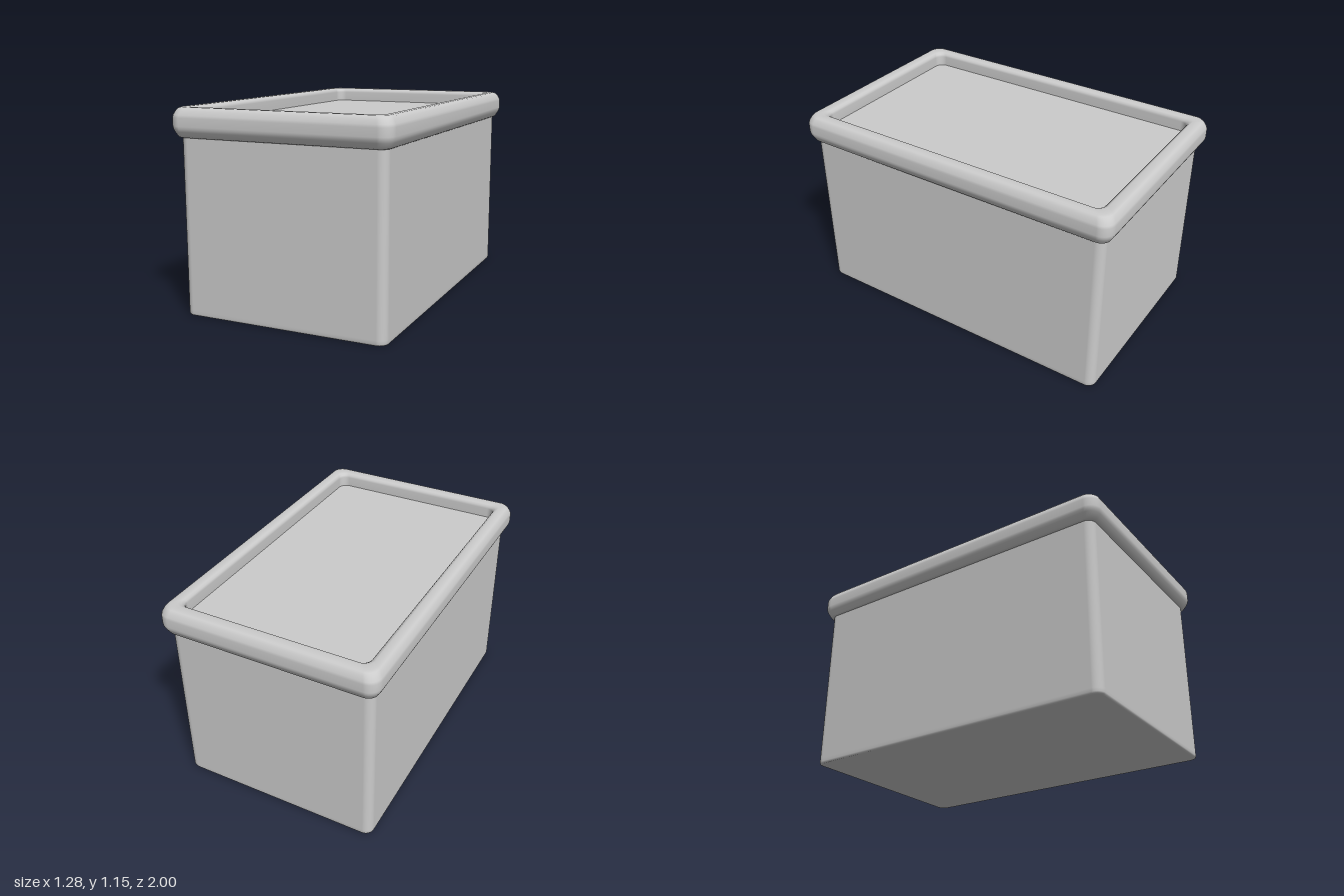
import * as THREE from 'three';

const CORNER_STEPS = 8;

// One rounded-rectangle loop: half width, half depth, corner radius, height
function loop(hx, hz, r, y) {
  const pts = [];
  const signs = [[1, 1], [-1, 1], [-1, -1], [1, -1]];
  signs.forEach(([sx, sz], q) => {
    for (let i = 0; i <= CORNER_STEPS; i++) {
      const a = (q + i / CORNER_STEPS) * Math.PI / 2;
      pts.push(sx * (hx - r) + r * Math.cos(a), y, sz * (hz - r) + r * Math.sin(a));
    }
  });
  return pts;
}

// Skin a list of loops; a repeated loop gives a sharp crease
function loft(name, sections, material) {
  const n = 4 * (CORNER_STEPS + 1);
  const positions = sections.flatMap((s) => loop(...s));
  const index = [];
  for (let j = 0; j < sections.length - 1; j++) {
    for (let i = 0; i < n; i++) {
      const k = (i + 1) % n;
      const a = j * n + i, b = a + n, c = j * n + k, d = c + n;
      index.push(a, b, c, c, b, d);
    }
  }
  const geometry = new THREE.BufferGeometry();
  geometry.setAttribute('position', new THREE.Float32BufferAttribute(positions, 3));
  geometry.setIndex(index);
  geometry.computeVertexNormals();
  const mesh = new THREE.Mesh(geometry, material);
  mesh.name = name;
  return mesh;
}

export function createModel() {
  const group = new THREE.Group();
  group.name = 'lidded box';
  const material = new THREE.MeshStandardMaterial({ color: 0xcccccc });

  // Box body with a small bevel round the base
  group.add(loft('body', [
    [0, 0, 0, 0],
    [0.59, 0.945, 0.045, 0],
    [0.59, 0.945, 0.045, 0],
    [0.597, 0.952, 0.05, 0.003],
    [0.6, 0.955, 0.05, 0.012],
    [0.6, 0.955, 0.05, 0.03],
    [0.6, 0.955, 0.05, 1.02],
  ], material));

  // Rounded rim: underside, bulging outside, top, inner wall of the recess
  group.add(loft('rim', [
    [0.57, 0.925, 0.03, 0.992],
    [0.606, 0.964, 0.05, 0.992],
    [0.615, 0.974, 0.055, 0.997],
    [0.631, 0.991, 0.065, 1.025],
    [0.638, 0.998, 0.07, 1.04],
    [0.64, 1.0, 0.07, 1.055],
    [0.64, 1.0, 0.07, 1.1],
    [0.637, 0.997, 0.07, 1.115],
    [0.625, 0.985, 0.065, 1.138],
    [0.614, 0.974, 0.06, 1.15],
    [0.6, 0.96, 0.055, 1.155],
    [0.572, 0.928, 0.05, 1.155],
    [0.558, 0.914, 0.05, 1.151],
    [0.548, 0.904, 0.05, 1.141],
    [0.545, 0.9, 0.05, 1.128],
    [0.545, 0.9, 0.05, 1.065],
  ], material));

  // Flat sunken panel inside the rim
  group.add(loft('lidPanel', [
    [0.548, 0.903, 0.05, 1.07],
    [0, 0, 0, 1.07],
  ], material));

  return group;
}
